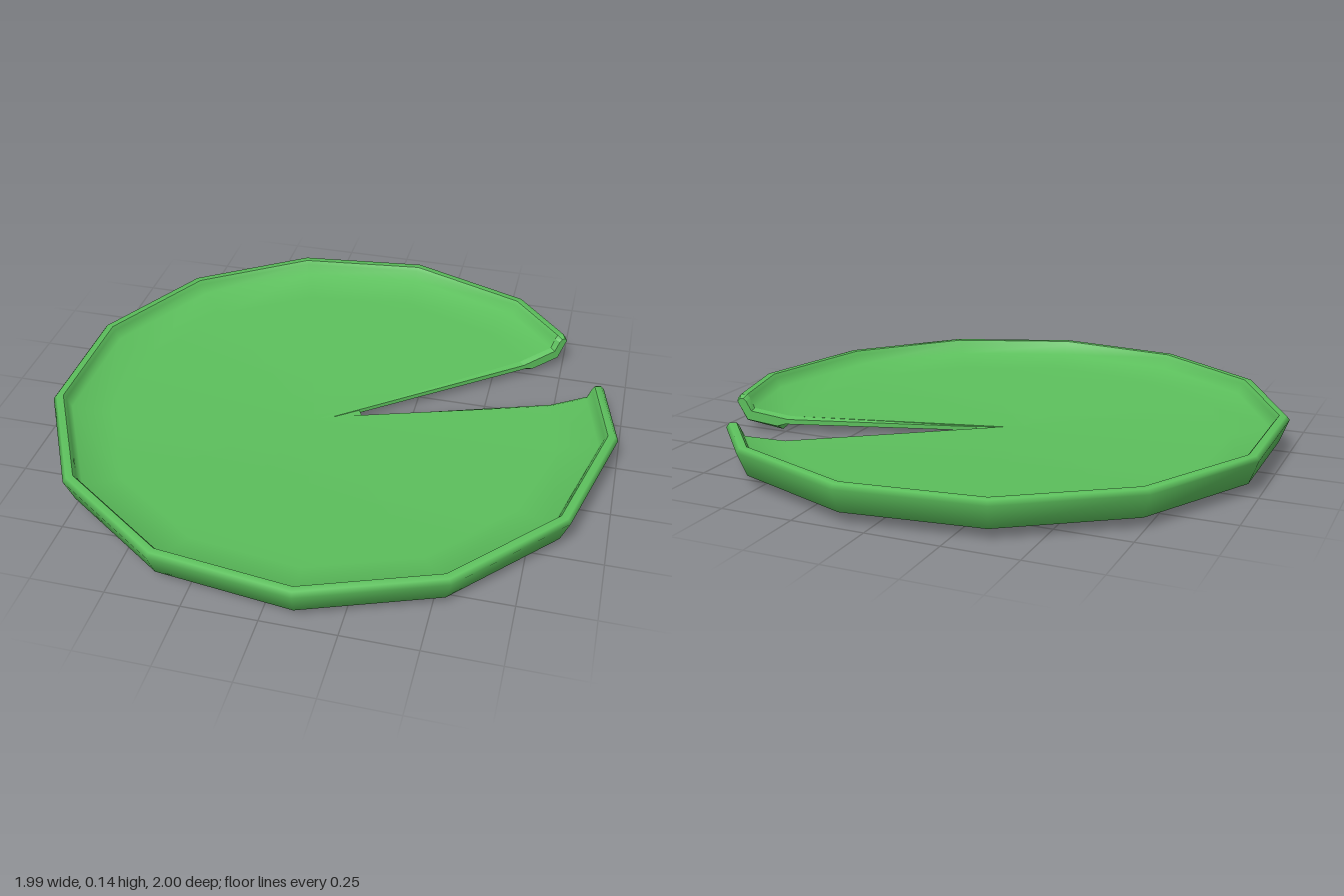
import * as THREE from 'three';

const SIDES = 13;
const RADIUS = 1.0074;
const CENTRE_X = -0.0147;
// Meeting point of the leaf's inner faces, a little past the point of the notch
const HUB = [-0.08, 0.035];

// Cross-section [radius, height]: recessed underside, foot, outer rim, lip, inner wall, floor
const PROFILE = [[0, 0.024], [0.832, 0.022], [0.838, 0], [0.968, 0.038], [1, 0.12], [0.988, 0.135],
  [0.964, 0.135], [0.954, 0.122], [0.938, 0.084], [0.8, 0.056], [0, 0.042]];
// Slimmer section that closes the leaf at each side of the notch
const END_PROFILE = [[0, 0.028], [0.82, 0.03], [0.85, 0.022], [0.962, 0.045], [0.997, 0.113], [0.987, 0.124],
  [0.975, 0.124], [0.964, 0.113], [0.946, 0.077], [0.81, 0.048], [0, 0.038]];

// Places a section along a spoke, shifted sideways by inset (more underneath, none at the hub)
function column([ux, uz], profile, inset = 0) {
  const l = Math.hypot(ux, uz);
  return profile.map(([r, y]) => {
    const s = inset * (y < 0.03 ? 2 : 1) * Math.min(1, r / 0.3) / l;
    return [CENTRE_X + ux * r - uz * s, y, uz * r + ux * s];
  });
}

// Skins neighbouring columns between profile points from and to
function skin(columns, from, to) {
  const n = to - from + 1;
  const index = [];
  for (let j = 0; j < columns.length - 1; j++) {
    for (let i = 0; i < n - 1; i++) {
      const a = j * n + i, b = a + 1, c = a + n, d = c + 1;
      index.push(a, b, c, b, d, c);
    }
  }
  const points = columns.flatMap((col) => col.slice(from, to + 1)).flat();
  const g = new THREE.BufferGeometry();
  g.setAttribute('position', new THREE.Float32BufferAttribute(points, 3));
  g.setIndex(index);
  g.computeVertexNormals();
  return g;
}

// Flat end wall of the notch
function cap(col, flip) {
  const outline = END_PROFILE.map(([r, y]) => new THREE.Vector2(r, y));
  const faces = THREE.ShapeUtils.triangulateShape(outline, []);
  const g = new THREE.BufferGeometry();
  g.setAttribute('position', new THREE.Float32BufferAttribute(col.flat(), 3));
  g.setIndex(faces.flatMap(([a, b, c]) => (flip ? [a, c, b] : [a, b, c])));
  g.computeVertexNormals();
  return g;
}

export function createModel() {
  const group = new THREE.Group();
  group.name = 'lilyPad';
  const green = new THREE.MeshStandardMaterial({ color: 0x5cbf5c });
  green.name = 'leafGreen';
  const add = (name, geometry) => {
    const mesh = new THREE.Mesh(geometry, green);
    mesh.name = name;
    group.add(mesh);
  };

  // Spokes: twelve polygon corners between the two notch ends
  const first = [0.93, -0.312];
  const last = [0.775, -0.597];
  const inset = 0.018;
  const columns = [column(first, PROFILE, inset)];
  for (let k = 0; k < SIDES - 1; k++) {
    const a = (k / SIDES) * Math.PI * 2;
    const spoke = column([RADIUS * Math.cos(a), RADIUS * Math.sin(a)], PROFILE);
    for (const p of [spoke[0], spoke[spoke.length - 1]]) [p[0], p[2]] = HUB;
    columns.push(spoke);
  }
  columns.push(column(last, PROFILE, -inset));

  add('underside', skin(columns, 0, 1));
  add('footStep', skin(columns, 1, 2));
  add('outerRim', skin(columns, 2, 6));
  add('leafFloor', skin(columns, 6, 10));

  // Bevelled notch edges
  const start = column(first, END_PROFILE);
  const end = column(last, END_PROFILE);
  const bevel = (a, b) => {
    const g = skin([a, b], 0, PROFILE.length - 1).toNonIndexed();
    g.computeVertexNormals();
    return g;
  };
  add('notchBevelFront', bevel(start, columns[0]));
  add('notchBevelBack', bevel(columns[columns.length - 1], end));
  add('notchWallFront', cap(start, true));
  add('notchWallBack', cap(end, false));

  // Small web closing the point of the notch
  const web = new THREE.CylinderGeometry(0.1, 0.1, 0.014, 2, 1, false,
    THREE.MathUtils.degToRad(108.5), THREE.MathUtils.degToRad(19));
  web.translate(CENTRE_X, 0.033, 0);
  add('notchWeb', web);

  return group;
}
